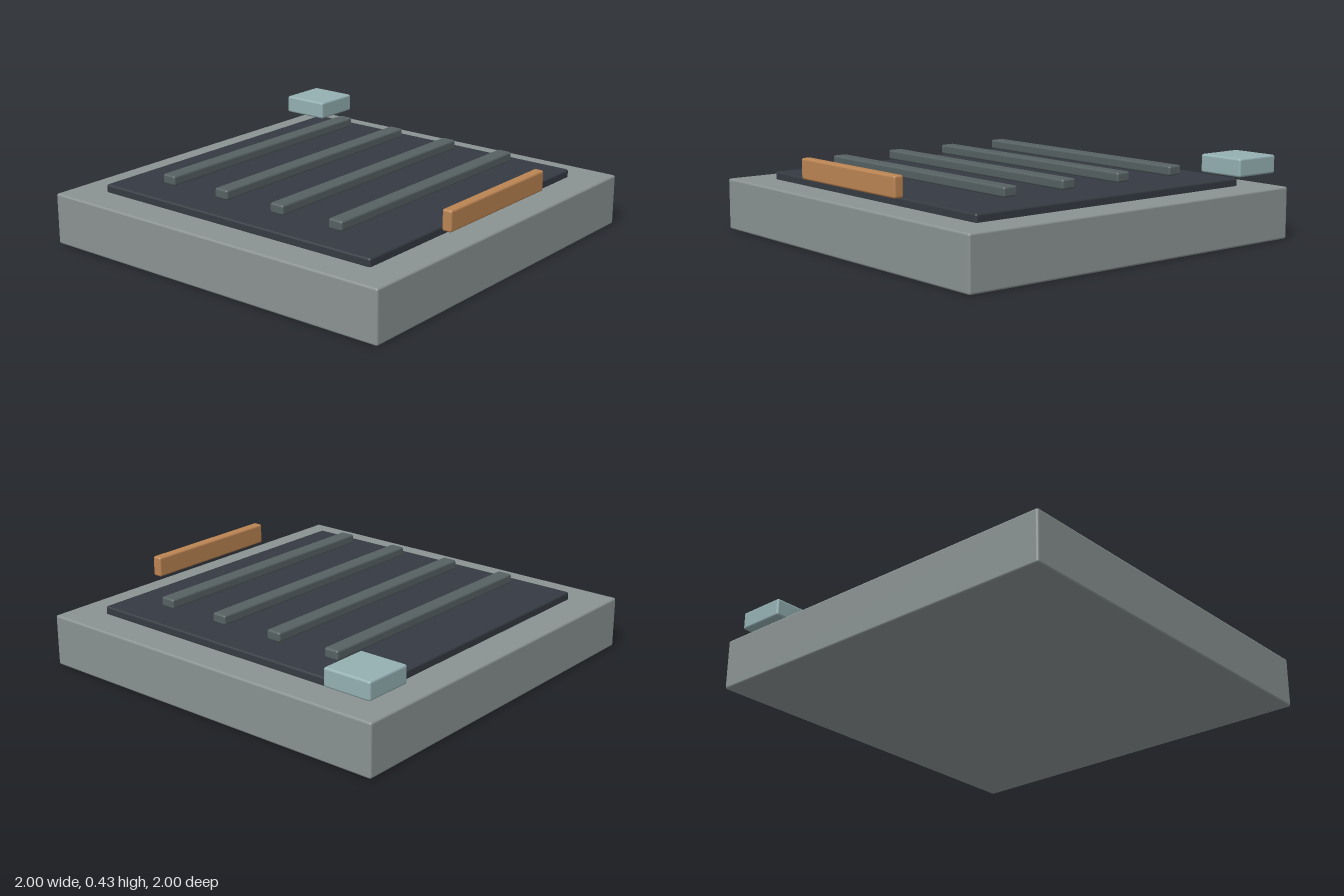
import * as THREE from 'three';
import { RoundedBoxGeometry } from 'three/addons/geometries/RoundedBoxGeometry.js';

function material(name, color) {
  const m = new THREE.MeshStandardMaterial({ color });
  m.name = name;
  return m;
}

export function createModel() {
  const model = new THREE.Group();
  model.name = 'ribbedFloorPlate';

  const stone = material('stone grey', 0x8a9392);
  const slate = material('dark slate', 0x353a42);
  const steel = material('steel grey', 0x566162);
  const copper = material('copper orange', 0xbb8453);
  const ice = material('pale teal', 0x94b0b3);

  // Softly bevelled block, placed by its centre
  function block(name, mat, size, centre, radius) {
    const mesh = new THREE.Mesh(new RoundedBoxGeometry(...size, 3, radius), mat);
    mesh.name = name;
    mesh.position.set(...centre);
    model.add(mesh);
  }

  // Slab and the dark panel resting on it
  block('base', stone, [2, 0.262, 2], [0, 0.131, 0], 0.011);
  block('panel', slate, [1.65, 0.05, 1.65], [0, 0.277, 0], 0.011);

  // Four evenly spaced ribs hovering above the panel
  for (let i = 0; i < 4; i++) {
    block('rib' + (i + 1), steel, [1.385, 0.05, 0.08], [0, 0.351, (i - 1.5) * 0.348], 0.011);
  }

  // Front handle bar and the back corner block
  block('frontBar', copper, [0.776, 0.105, 0.052], [0, 0.374, 0.915], 0.011);
  block('cornerBlock', ice, [0.257, 0.092, 0.257], [0.824, 0.374, -0.827], 0.011);

  return model;
}
